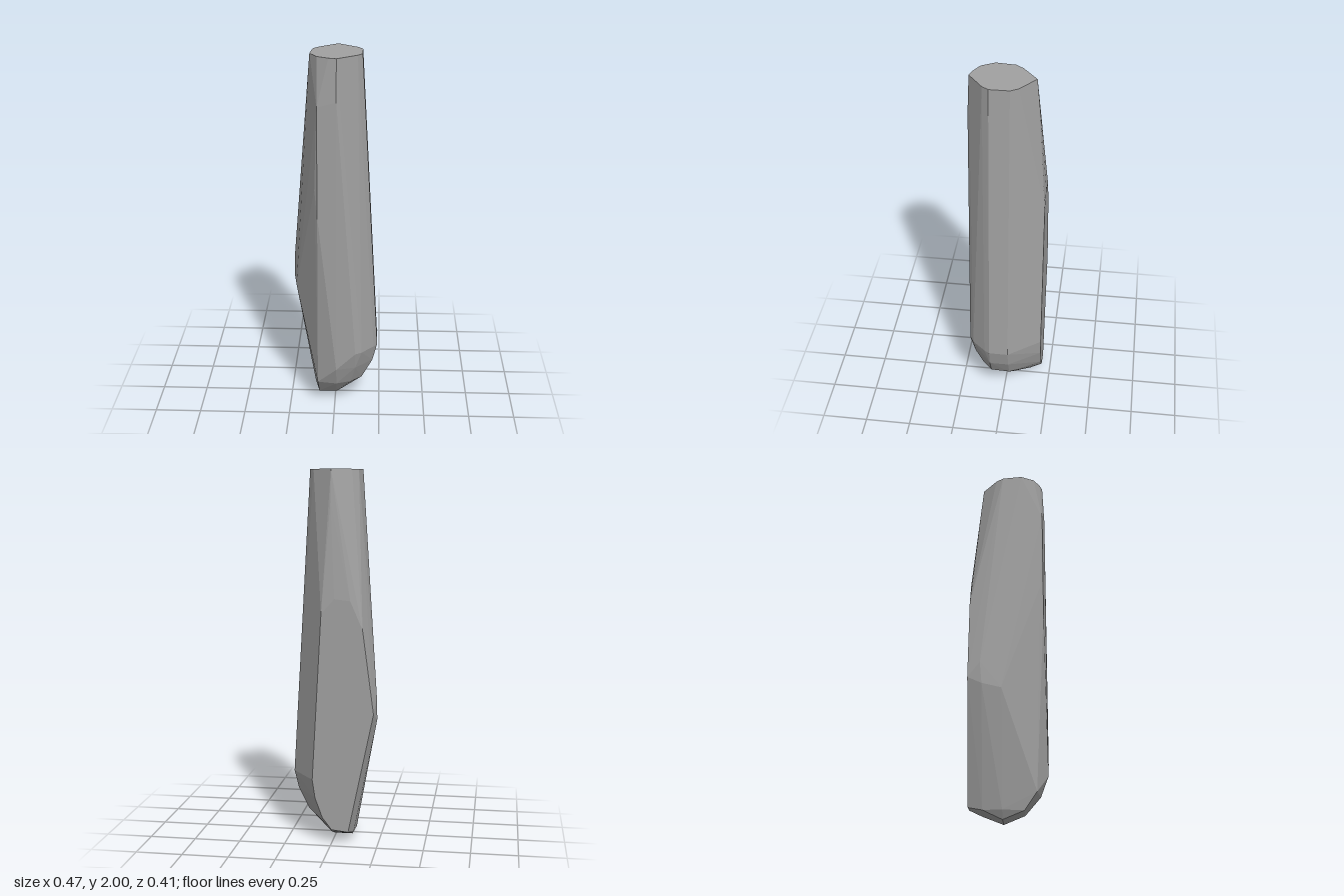
import * as THREE from 'three';
import { ConvexGeometry } from 'three/addons/geometries/ConvexGeometry.js';

export function createModel() {
  const group = new THREE.Group();
  group.name = 'facetedPillar';
  const stoneGrey = new THREE.MeshStandardMaterial({ color: 0xa0a0a0 });
  stoneGrey.name = 'stoneGrey';

  const points = [];
  const add = (list) => list.forEach(([x, y, z]) => points.push(new THREE.Vector3(x, y, z)));
  const ring = (y, list) => list.forEach(([x, z]) => points.push(new THREE.Vector3(x, y, z)));

  // flat cut top
  ring(2, [[-0.13, 0.075], [-0.12, -0.03], [-0.09, -0.07], [0.01, -0.15], [0.115, -0.07],
    [0.14, -0.03], [0.14, 0.075], [0.115, 0.11], [0.01, 0.19], [-0.03, 0.178], [-0.09, 0.145]]);
  // upper front chamfer and left front edge
  add([[-0.09, 1.75, 0.19], [0.01, 1.78, 0.2], [-0.09, 1.15, 0.19], [-0.105, 1.3, 0.175]]);
  // flat back face outline
  add([[0.055, 1.25], [-0.015, 1.33], [-0.1, 1.32], [-0.165, 1.17], [-0.225, 0.72],
    [-0.09, 0.065], [0, 0.075], [0.05, 0.14], [0.09, 0.25], [0.105, 0.35]]
    .map(([x, y]) => [x, y, -0.205]));
  add([[0.01, 1.84, -0.165]]);
  // bulge on the -x side
  add([[-0.237, 0.68, -0.13], [-0.235, 0.8, -0.14], [-0.22, 0.66, -0.03]]);
  // rounded foot, from its widest ring down to the tip
  ring(0.35, [[0.235, -0.03], [0.235, 0.075], [0.215, 0.105], [0.15, 0.178], [0.115, 0.2]]);
  ring(0.25, [[0.21, -0.03], [0.21, 0.075], [0.115, 0.17], [0.01, 0.2]]);
  ring(0.14, [[0.155, -0.03], [0.15, 0.075], [0.09, 0.13], [0.01, 0.16], [-0.095, 0.145]]);
  ring(0.045, [[0.01, 0.08], [-0.09, 0.08], [-0.115, -0.03], [-0.11, -0.13], [0.01, -0.14]]);
  ring(0, [[-0.09, -0.03], [0.01, -0.03]]);

  const body = new THREE.Mesh(new ConvexGeometry(points), stoneGrey);
  body.name = 'pillarBody';
  group.add(body);
  return group;
}
